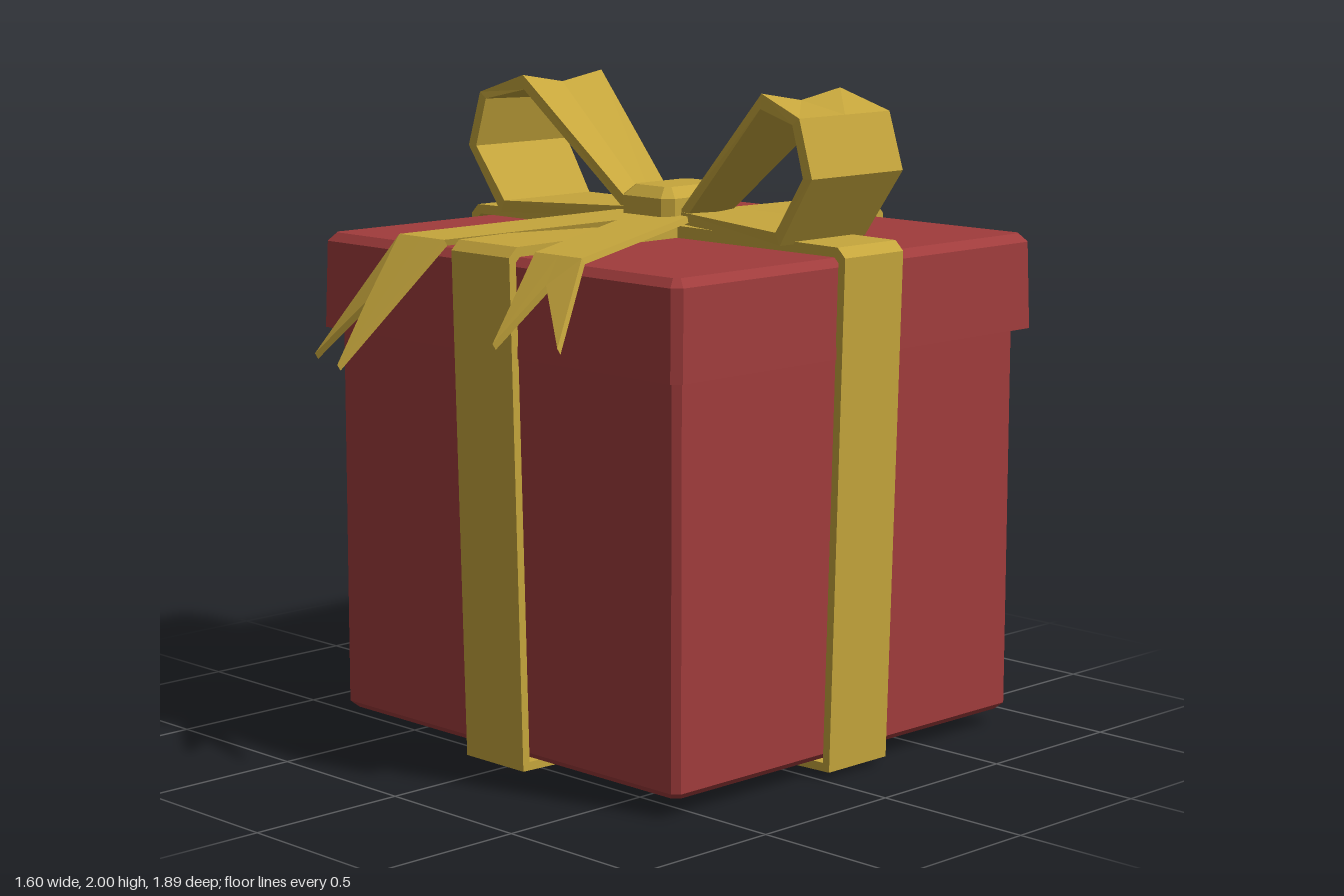
import * as THREE from 'three';

// Skins a list of equal-length point rings, caps both ends, and faces it outward.
function loft(rings) {
  const n = rings[0].length;
  const tris = [];
  for (let i = 0; i < rings.length - 1; i++) {
    for (let j = 0; j < n; j++) {
      const k = (j + 1) % n;
      const a = rings[i][j], b = rings[i][k], c = rings[i + 1][k], d = rings[i + 1][j];
      tris.push([a, b, c], [a, c, d]);
    }
  }
  const first = rings[0], last = rings[rings.length - 1];
  for (let j = 1; j < n - 1; j++) {
    tris.push([first[0], first[j + 1], first[j]], [last[0], last[j], last[j + 1]]);
  }
  const V = (p) => new THREE.Vector3(...p);
  const o = V(first[0]);
  let volume = 0;
  for (const [a, b, c] of tris) {
    volume += V(a).sub(o).dot(V(b).sub(o).cross(V(c).sub(o)));
  }
  const pos = tris.flatMap((t) => (volume < 0 ? [t[0], t[2], t[1]] : t).flat());
  const geo = new THREE.BufferGeometry();
  geo.setAttribute('position', new THREE.Float32BufferAttribute(pos, 3));
  geo.computeVertexNormals();
  return geo;
}

// Rectangle with cut corners at height y.
const octagon = (y, hx, hz, c) => [
  [hx, y, hz - c], [hx - c, y, hz], [c - hx, y, hz], [-hx, y, hz - c],
  [-hx, y, c - hz], [c - hx, y, -hz], [hx - c, y, -hz], [hx, y, c - hz],
];

export function createModel() {
  const red = new THREE.MeshStandardMaterial({ color: 0xa03c3c, flatShading: true });
  red.name = 'red card';
  const gold = new THREE.MeshStandardMaterial({ color: 0xc6a63c, flatShading: true });
  gold.name = 'gold ribbon';

  const model = new THREE.Group();
  model.name = 'giftBox';
  const present = new THREE.Group();
  present.name = 'present';
  present.position.z = -0.147;
  model.add(present);

  const add = (name, geo, mat, parent = present) => {
    const mesh = new THREE.Mesh(geo, mat);
    mesh.name = name;
    parent.add(mesh);
    return mesh;
  };

  // Box and lid
  add('boxBody', loft([
    octagon(0.05, 0.71, 0.71, 0.02),
    octagon(0.07, 0.73, 0.73, 0.02),
    octagon(1.3, 0.73, 0.73, 0.02),
  ]), red);
  add('lid', loft([
    octagon(1.25, 0.772, 0.772, 0.025),
    octagon(1.515, 0.765, 0.765, 0.025),
    octagon(1.54, 0.74, 0.74, 0.015),
  ]), red);

  // Two crossing bands wrapped around the box
  const mirrored = (half) => [
    ...half, ...half.filter((p) => p[0] > 0).reverse().map(([x, y]) => [-x, y]),
  ].map(([x, y]) => new THREE.Vector2(x, y));
  const bandShape = new THREE.Shape(mirrored(
    [[0, 0], [0.76, 0.02], [0.802, 1.545], [0.772, 1.574], [0, 1.583]]));
  bandShape.holes.push(new THREE.Path(mirrored(
    [[0, 0.04], [0.735, 0.045], [0.776, 1.53], [0.76, 1.545], [0, 1.545]])));
  const bandGeo = new THREE.ExtrudeGeometry(bandShape, { depth: 0.25, bevelEnabled: false });
  bandGeo.translate(0, 0, -0.125);
  add('sideBand', bandGeo, gold);
  add('frontBand', bandGeo, gold).rotation.y = Math.PI / 2;

  // Bow loops: [outer x, outer y, inner x, inner y, half width, crease dip]
  const stations = [
    [0.07, 1.59, 0.09, 1.565, 0.085, 0.02],
    [0.51, 2.0, 0.505, 1.955, 0.168, 0.028],
    [0.682, 1.94, 0.655, 1.92, 0.193, 0],
    [0.735, 1.77, 0.7, 1.77, 0.195, 0],
    [0.6, 1.568, 0.583, 1.605, 0.183, 0],
    [0.06, 1.585, 0.06, 1.62, 0.085, 0],
  ];
  const loopGeo = loft(stations.map(([ox, oy, ix, iy, w, dip]) => [
    [ox, oy, -w], [ox, oy - dip, 0], [ox, oy, w],
    [ix, iy, w], [ix, iy - dip, 0], [ix, iy, -w],
  ]));
  add('leftBowLoop', loopGeo, gold);
  add('rightBowLoop', loopGeo, gold).rotation.y = Math.PI;

  // Knot
  add('knot', loft([
    octagon(1.575, 0.11, 0.15, 0.03),
    octagon(1.66, 0.11, 0.15, 0.03),
    octagon(1.692, 0.075, 0.115, 0.015),
  ]), gold);

  // Forked tails, each made of two halves meeting at the notch
  const tail = (name, side, bend, outerTip, notch, innerTip) => {
    const group = new THREE.Group();
    group.name = name;
    model.add(group);
    const rows = [
      [[0.105, 1.615, -0.15], [0.002, 1.615, -0.15], [-0.1, 1.615, -0.15]],
      [[bend, 1.566, 0.62], [(bend + 0.197) / 2, 1.566, 0.62], [0.197, 1.566, 0.62]],
      [outerTip, notch, innerTip],
    ];
    const flip = ([x, y, z]) => [x * side, y, z];
    const under = ([x, y, z]) => [x * side, y - 0.018, z - 0.012];
    for (const h of [0, 1]) {
      add(h ? 'innerHalf' : 'outerHalf', loft(rows.map((r) => [
        flip(r[h]), flip(r[h + 1]), under(r[h + 1]), under(r[h]),
      ])), gold, group);
    }
  };
  tail('rightTail', -1, 0.4, [0.49, 1.225, 0.875], [0.353, 1.385, 0.79], [0.3, 1.22, 0.945]);
  tail('leftTail', 1, 0.39, [0.46, 1.335, 0.78], [0.323, 1.49, 0.695], [0.27, 1.335, 0.85]);

  return model;
}
